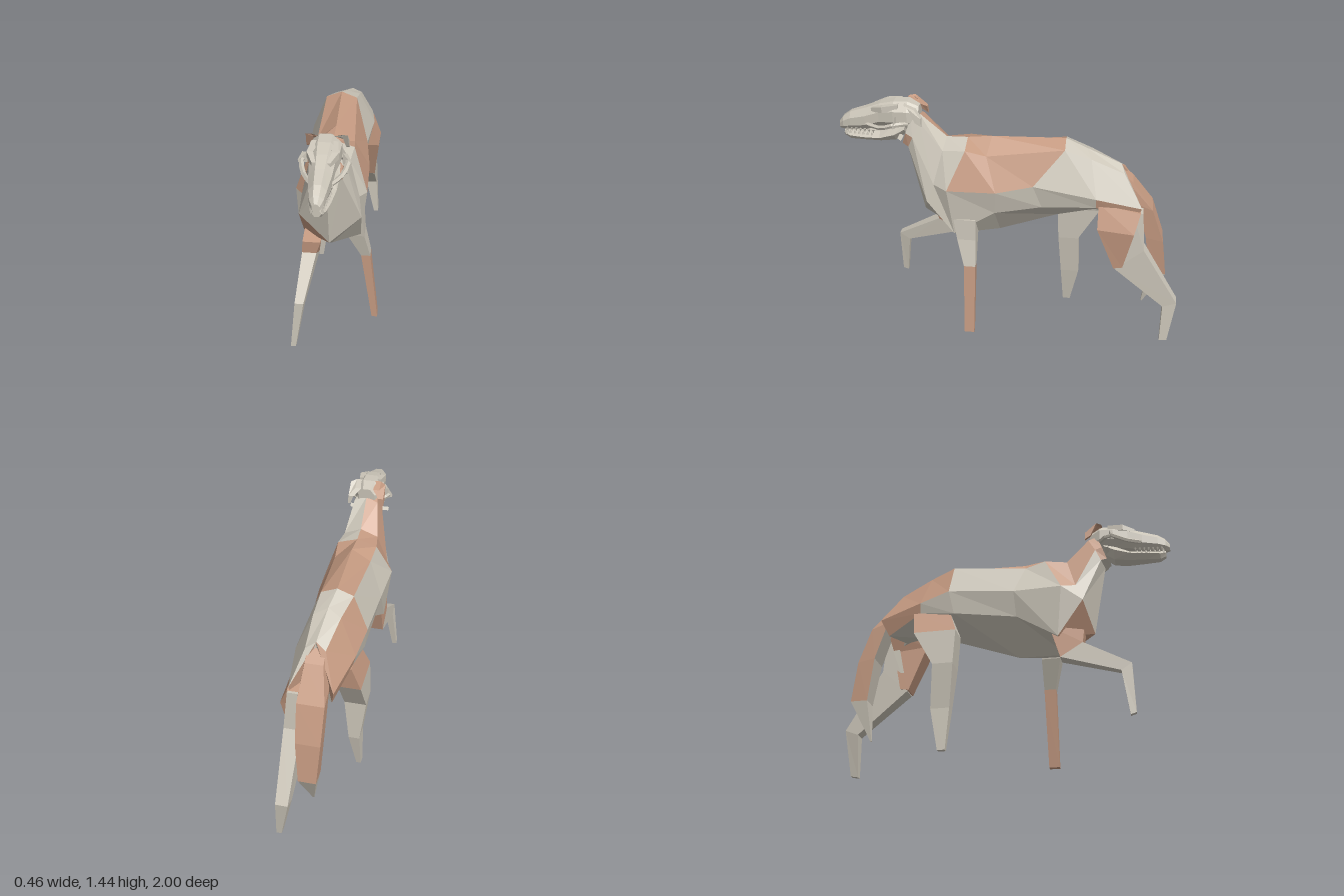
import * as THREE from 'three';

const grey = new THREE.MeshStandardMaterial({ color: 0xcdc7ba });
grey.name = 'ash grey';
const brown = new THREE.MeshStandardMaterial({ color: 0xc69b82 });
brown.name = 'tan brown';
const CX = -0.025; // spine line

// Faceted skin over a row of rings; paint(i, j) is true where a face is brown
function loft(name, rings, paint = () => false) {
  const tris = [[], []];
  const n = rings[0].length, last = rings.length - 1;
  const add = (c, ...p) => tris[c].push(p);
  for (let i = 0; i < last; i++) {
    for (let j = 0; j < n; j++) {
      const k = (j + 1) % n, c = paint(i, j) ? 1 : 0;
      const [a, b, d, e] = [rings[i][j], rings[i][k], rings[i + 1][k], rings[i + 1][j]];
      add(c, a, b, d);
      add(c, a, d, e);
    }
  }
  for (let k = 1; k < n - 1; k++) {
    add(paint(0, k) ? 1 : 0, rings[0][0], rings[0][k + 1], rings[0][k]);
    add(paint(last - 1, k) ? 1 : 0, rings[last][0], rings[last][k], rings[last][k + 1]);
  }
  // turn the skin outwards if its volume is negative
  let volume = 0;
  const origin = rings[0][0], q = new THREE.Vector3(), r = new THREE.Vector3(), s = new THREE.Vector3();
  tris.flat().forEach(([a, b, c]) => {
    q.subVectors(a, origin); r.subVectors(b, origin); s.subVectors(c, origin);
    volume += q.dot(r.cross(s));
  });
  const points = [];
  const geo = new THREE.BufferGeometry();
  tris.forEach((list, c) => {
    const start = points.length;
    list.forEach(([a, b, d]) => points.push(...(volume < 0 ? [a, d, b] : [a, b, d])));
    if (list.length) geo.addGroup(start, list.length * 3, c);
  });
  geo.setFromPoints(points);
  geo.computeVertexNormals();
  const mesh = new THREE.Mesh(geo, [grey, brown]);
  mesh.name = name;
  return mesh;
}

// Limb section: centre x, y, z, half width, half depth vector (dy, dz)
function limb(name, sections, paint, n = 4) {
  const s = 1 / Math.cos(Math.PI / n);
  return loft(name, sections.map(([x, y, z, hx, dy, dz]) =>
    Array.from({ length: n }, (_, j) => {
      const t = (2 * j + 1) * Math.PI / n, c = s * Math.cos(t);
      return new THREE.Vector3(x + hx * s * Math.sin(t), y + dy * c, z + dz * c);
    })), paint);
}

// Torso: per ring the centre x, then half outline [x, y, z, z on the other side] from spine to belly
function makeTorso() {
  const half = [
    [CX, [0, 1.38, .57], [.06, 1.36, .57], [.085, 1.27, .6], [.065, 1.2, .625], [0, 1.19, .64]],
    [CX, [0, 1.36, .535], [.07, 1.335, .52], [.095, 1.25, .56], [.08, 1.185, .59], [0, 1.17, .61]],
    [CX, [0, 1.225, .38], [.1, 1.18, .39], [.155, .99, .44], [.17, .885, .48], [0, .74, .53]],
    [-.03, [0, 1.225, .26], [.115, 1.19, .26], [.195, .97, .36], [.16, .67, .33], [0, .62, .36]],
    [-.03, [0, 1.24, .12], [.105, 1.16, .14], [.185, .97, .08], [.15, .82, .09], [0, .625, .08]],
    [-.045, [0, 1.245, -.3], [.09, 1.21, -.3], [.17, 1.01, -.13, -.31], [.15, .87, -.18, -.28], [0, .74, -.26]],
    [-.025, [0, 1.2, -.42], [.075, 1.165, -.45], [.165, .96, -.49], [.15, .9, -.49], [0, .805, -.48]],
    [-.01, [0, 1.12, -.62], [.055, 1.085, -.64], [.12, .9, -.75], [.1, .8, -.7], [0, .79, -.62]],
  ];
  const rings = half.map(([cx, ...p]) => {
    const near = p.map(([x, y, z]) => new THREE.Vector3(cx + x, y, z));
    const far = p.slice(1, 4).reverse().map(([x, y, z, zFar = z]) => new THREE.Vector3(cx - x, y, zFar));
    return [...near, ...far];
  });
  // brown strips by ring: throat, neck, chest, saddle and hindquarters
  const patches = [[2, 5, 6, 7], [6, 7], [6, 7, 4], [0, 1, 7], [0, 1, 7], [6], [2, 5, 6]];
  return loft('torso', rings, (i, j) => patches[i].includes(j));
}

function makeHead() {
  const head = new THREE.Group();
  head.name = 'head';
  head.add(limb('skull', [
    [CX, 1.35, .53, .05, .06, 0],
    [CX, 1.36, .59, .08, .08, 0],
    [CX, 1.36, .67, .078, .078, 0],
    [CX, 1.35, .755, .064, .068, 0],
    [CX, 1.32, .84, .056, .066, 0],
    [CX, 1.302, .93, .044, .054, 0],
    [CX, 1.285, .975, .034, .04, 0],
    [CX, 1.27, 1, .018, .022, 0],
  ], undefined, 8));
  head.add(limb('lowerJaw', [
    [CX, 1.285, .61, .062, .035, 0],
    [CX, 1.25, .67, .066, .045, 0],
    [CX, 1.222, .76, .06, .03, 0],
    [CX, 1.216, .86, .048, .026, 0],
    [CX, 1.215, .94, .034, .026, 0],
    [CX, 1.225, .975, .02, .018, 0],
  ], undefined, 6));
  for (const side of [-1, 1]) {
    // cheekbone arch
    const arch = new THREE.CatmullRomCurve3([[.07, 1.32, .59], [.115, 1.33, .65], [.095, 1.3, .74], [.05, 1.3, .83]]
      .map(([x, y, z]) => new THREE.Vector3(CX + side * x, y, z)));
    const cheek = new THREE.Mesh(new THREE.TubeGeometry(arch, 6, .013, 5).toNonIndexed(), grey);
    cheek.geometry.computeVertexNormals();
    cheek.name = 'cheekbone';
    head.add(cheek);
    // brow ridge, cheek spur and jaw hinge
    head.add(limb('browRidge', [
      [CX + side * .045, 1.41, .64, .02, .02, 0],
      [CX + side * .062, 1.4, .73, .016, .018, 0],
      [CX + side * .035, 1.385, .8, .01, .012, 0],
    ]));
    head.add(limb('cheekSpur', [
      [CX + side * .1, 1.34, .65, .012, .03, 0],
      [CX + side * .13, 1.32, .66, .004, .008, 0],
    ]));
    head.add(limb('jawHinge', [
      [CX + side * .05, 1.245, .63, .001, .007, .01],
      [CX + side * .118, 1.245, .63, .001, .007, .01],
    ]));
    // folded ear
    head.add(limb('ear', [
      [CX + side * .055, 1.42, .575, .018, .015, .03],
      [CX + side * .09, 1.4, .54, .015, .03, .035],
      [CX + side * .1, 1.335, .52, .008, .012, .018],
    ], () => side < 0));
    // teeth, with a longer canine in front
    for (let i = 0; i < 7; i++) {
      for (const up of [1, -1]) {
        const long = i === 0 ? .04 : .022;
        const tooth = new THREE.Mesh(new THREE.ConeGeometry(.008, long, 4), grey);
        tooth.name = 'tooth';
        tooth.position.set(CX + side * (.027 + i * .0035), 1.246 + up * .006, .962 - i * .026 - (up > 0 ? .01 : 0));
        if (up > 0) tooth.rotation.x = Math.PI;
        head.add(tooth);
      }
    }
  }
  return head;
}

export function createModel() {
  const model = new THREE.Group();
  model.name = 'hound';
  model.add(makeTorso(), makeHead());

  model.add(limb('leftForeleg', [
    [.085, .77, .265, .055, 0, .065],
    [.1, .64, .255, .048, 0, .055],
    [.155, .475, .235, .027, 0, .034],
    [.214, .02, .24, .017, 0, .03],
  ], (i) => i === 2));

  model.add(limb('raisedRightForeleg', [
    [-.13, .72, .38, .05, -.02, .1],
    [-.145, .58, .405, .04, .04, .065],
    [-.167, .45, .705, .024, .02, .03],
    [-.205, .165, .727, .014, .005, .016],
  ], (i) => i === 0));

  // brown thigh in front of a grey calf
  model.add(limb('leftThigh', [
    [.06, .9, -.625, .06, .025, .12],
    [.105, .77, -.61, .064, .01, .105],
    [.09, .51, -.638, .05, -.005, .026],
  ], () => true));
  model.add(limb('leftHindLeg', [
    [.075, .875, -.73, .04, 0, .03],
    [.09, .57, -.7, .047, -.07, .08],
    [.1, .265, -.96, .035, -.015, .04],
    [.135, .008, -.943, .015, -.004, .023],
  ]));

  model.add(limb('rightHindLeg', [
    [-.115, .9, -.42, .06, 0, .11],
    [-.16, .75, -.385, .064, 0, .125],
    [-.168, .54, -.33, .063, 0, .06],
    [-.165, .28, -.345, .032, 0, .055],
    [-.185, .035, -.33, .014, 0, .022],
  ], (i, j) => i === 0 && (j === 1 || j === 2)));

  // hanging tail, grey underneath and at the tip
  model.add(limb('tail', [
    [-.015, 1.07, -.64, .05, .04, .05],
    [CX, .88, -.765, .075, .02, .05],
    [CX, .66, -.84, .068, .01, .05],
    [CX, .41, -.875, .05, 0, .05],
    [CX, .17, -.8, .004, 0, .004],
  ], (i, j) => i < 3 && j !== 3));

  return model;
}
